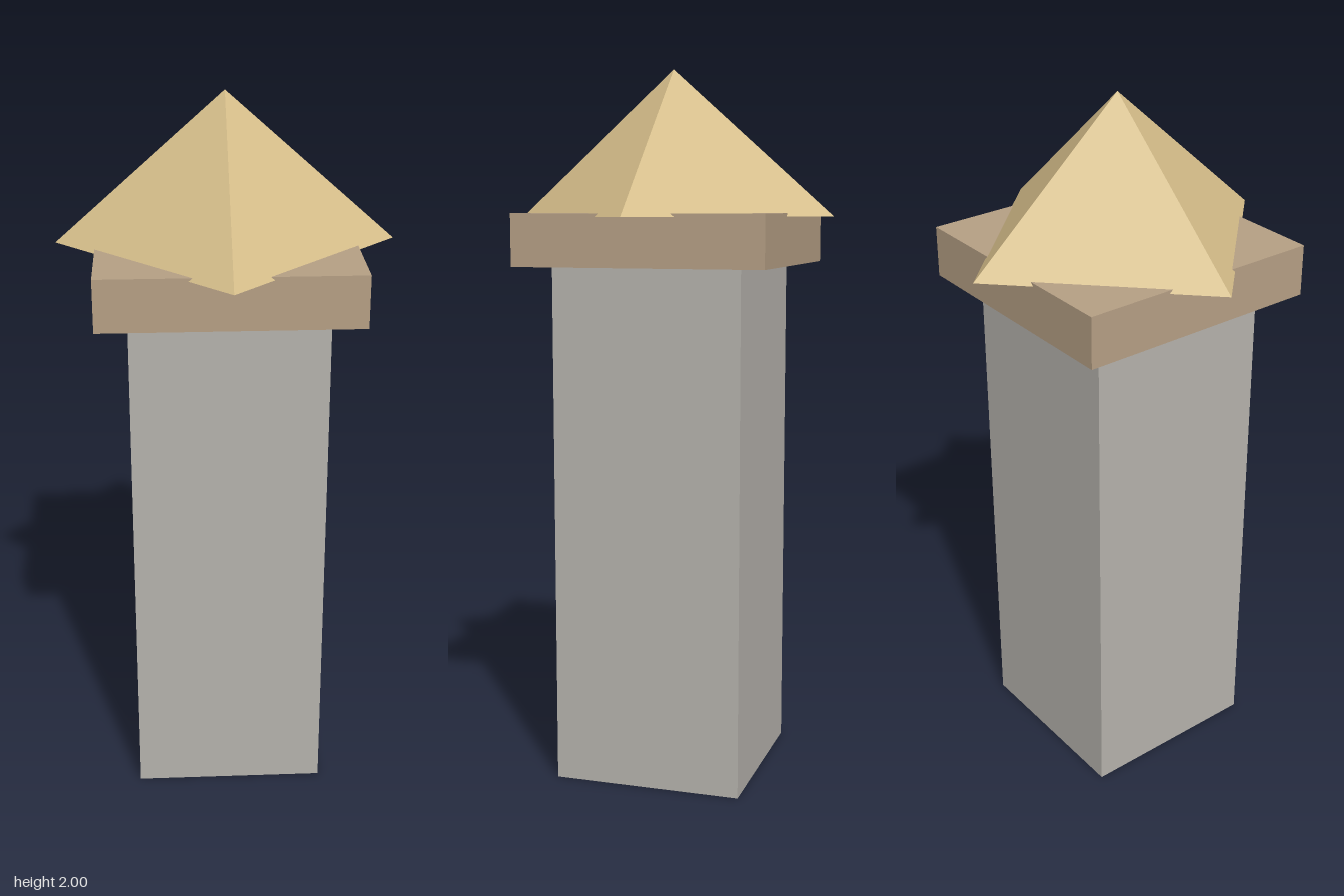
import * as THREE from 'three';

export function createModel() {
  const group = new THREE.Group();
  group.name = 'cappedPillar';

  const add = (name, geometry, color, y) => {
    const material = new THREE.MeshStandardMaterial({ color, flatShading: true });
    const mesh = new THREE.Mesh(geometry, material);
    mesh.name = name;
    mesh.position.y = y;
    group.add(mesh);
  };

  // Square shaft standing on the ground
  const shaftHeight = 1.46;
  add('shaft', new THREE.BoxGeometry(0.534, shaftHeight, 0.534), 0xb5b2ac, shaftHeight / 2);

  // Overhanging slab on top of the shaft
  const slabHeight = 0.143;
  add('capSlab', new THREE.BoxGeometry(0.703, slabHeight, 0.703), 0xb59f84, shaftHeight + slabHeight / 2);

  // Four-sided roof, turned so its corners lie on the axes and sunk slightly into the slab
  const roofHeight = 0.406;
  add('pyramidRoof', new THREE.ConeGeometry(0.46, roofHeight, 4), 0xd6be8a, 2 - roofHeight / 2);

  return group;
}
